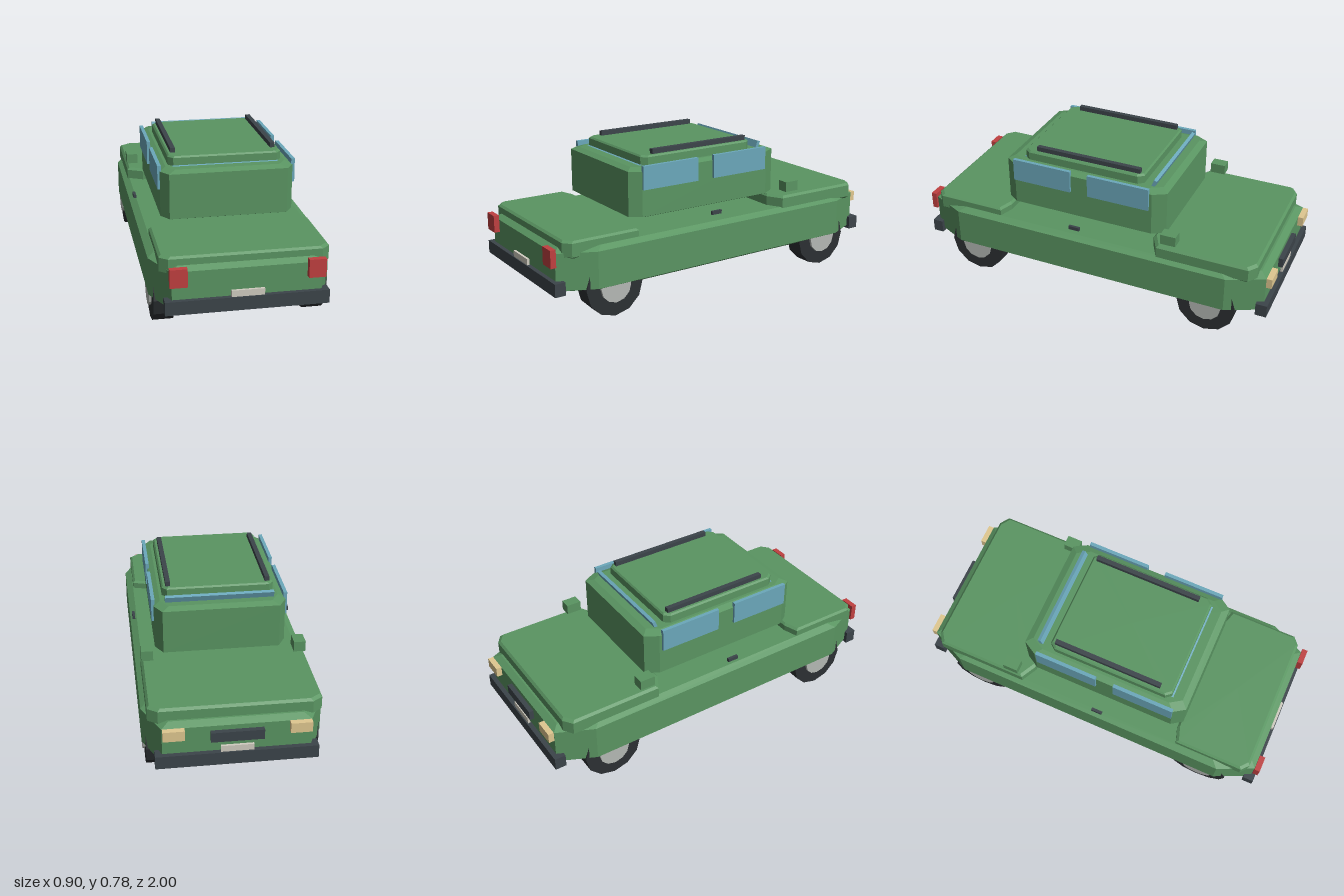
import * as THREE from 'three';

const mat = (color) => new THREE.MeshStandardMaterial({ color, flatShading: true });

// Eight-sided slab with cut corners, bevelled at top and bottom.
// cutBack / cutFront = [x, z] size of the corner cuts at the -z / +z end.
function slab({ hx, z0, z1, y0, y1, cutBack, cutFront, bevel, rise }) {
  const ring = (y, inset) => {
    const x = hx - inset, a = z0 + inset, b = z1 - inset;
    const [bx, bz] = cutBack, [fx, fz] = cutFront;
    return [
      [x, a + bz], [x, b - fz], [x - fx, b], [-x + fx, b],
      [-x, b - fz], [-x, a + bz], [-x + bx, a], [x - bx, a],
    ].map(([px, pz]) => new THREE.Vector3(px, y, pz));
  };
  const rings = [ring(y0, bevel), ring(y0 + rise, 0), ring(y1 - rise, 0), ring(y1, bevel)];
  const points = [];
  const n = 8, zc = (z0 + z1) / 2;
  for (let j = 0; j < n; j++) {
    const k = (j + 1) % n;
    for (let i = 0; i < 3; i++) {
      const lo = rings[i], hi = rings[i + 1];
      points.push(lo[j], hi[j], lo[k], lo[k], hi[j], hi[k]);
    }
    points.push(new THREE.Vector3(0, y1, zc), rings[3][k], rings[3][j]);
    points.push(new THREE.Vector3(0, y0, zc), rings[0][j], rings[0][k]);
  }
  const geometry = new THREE.BufferGeometry().setFromPoints(points);
  geometry.computeVertexNormals();
  return geometry;
}

export function createModel() {
  const car = new THREE.Group();
  car.name = 'car';
  const paint = mat(0x5a9562), trim = mat(0x3c444a), rubber = mat(0x2c3033);
  const glass = mat(0x6ba8bb), red = mat(0xc04040), cream = mat(0xe0c890);
  const plate = mat(0xd0ccc0), metal = mat(0xb4b8b4);

  const add = (name, geometry, material) => {
    const mesh = new THREE.Mesh(geometry, material);
    mesh.name = name;
    car.add(mesh);
    return mesh;
  };
  // Box given by its lower and upper limits on each axis
  const box = (name, material, [x0, x1], [y0, y1], [z0, z1]) => {
    const mesh = add(name, new THREE.BoxGeometry(x1 - x0, y1 - y0, z1 - z0), material);
    mesh.position.set((x0 + x1) / 2, (y0 + y1) / 2, (z0 + z1) / 2);
    return mesh;
  };
  // The same box on both sides
  const pair = (name, material, [x0, x1], y, z) => {
    box(name + 'Left', material, [x0, x1], y, z);
    box(name + 'Right', material, [-x1, -x0], y, z);
  };

  // Body shell
  add('lowerBody', slab({
    hx: 0.452, z0: -0.97, z1: 0.97, y0: 0.15, y1: 0.383,
    cutBack: [0.088, 0.19], cutFront: [0.088, 0.19], bevel: 0.035, rise: 0.02,
  }), paint);
  add('engineLid', slab({
    hx: 0.427, z0: -0.925, z1: -0.35, y0: 0.355, y1: 0.445,
    cutBack: [0.05, 0.035], cutFront: [0.085, 0.045], bevel: 0.012, rise: 0.012,
  }), paint);
  add('luggageLid', slab({
    hx: 0.415, z0: 0.5, z1: 0.937, y0: 0.335, y1: 0.425,
    cutBack: [0.08, 0.025], cutFront: [0.04, 0.035], bevel: 0.012, rise: 0.01,
  }), paint);
  add('cabin', slab({
    hx: 0.345, z0: -0.405, z1: 0.52, y0: 0.44, y1: 0.705,
    cutBack: [0.04, 0.07], cutFront: [0.04, 0.06], bevel: 0.035, rise: 0.014,
  }), paint);
  add('roof', slab({
    hx: 0.295, z0: -0.265, z1: 0.425, y0: 0.69, y1: 0.755,
    cutBack: [0.025, 0.03], cutFront: [0.025, 0.03], bevel: 0.008, rise: 0.008,
  }), paint);
  pair('roofRail', trim, [0.25, 0.275], [0.752, 0.78], [-0.24, 0.355]);

  // Windows; the end panes lean and are mostly sunk into the cabin
  pair('frontSideWindow', glass, [0.338, 0.357], [0.597, 0.721], [-0.32, 0.025]);
  pair('rearSideWindow', glass, [0.338, 0.357], [0.597, 0.721], [0.125, 0.46]);
  const windshield = box('windshield', glass, [-0.285, 0.285], [0.545, 0.745], [-0.305, -0.287]);
  windshield.rotation.x = -0.35;
  const rearWindow = box('rearWindow', glass, [-0.275, 0.275], [0.53, 0.71], [0.395, 0.413]);
  rearWindow.rotation.x = 0.3;

  // Mirrors and handles
  pair('mirror', paint, [0.365, 0.426], [0.466, 0.521], [-0.5, -0.417]);
  pair('doorHandle', trim, [0.429, 0.444], [0.427, 0.446], [0.035, 0.095]);

  // Bumpers, plates, lamps and grille
  for (const [name, z] of [['front', [-0.995, -0.935]], ['rear', [0.935, 0.993]]]) {
    box(name + 'Bumper', trim, [-0.4, 0.4], [0.153, 0.222], z);
  }
  box('rearPlate', plate, [-0.081, 0.081], [0.2, 0.255], [0.975, 0.988]);
  box('frontPlate', plate, [-0.081, 0.081], [0.2, 0.255], [-0.988, -0.975]);
  pair('tailLamp', red, [0.292, 0.377], [0.295, 0.388], [0.97, 1]);
  pair('headLamp', cream, [0.255, 0.362], [0.31, 0.364], [-1, -0.97]);
  box('grille', trim, [-0.13, 0.13], [0.285, 0.338], [-0.995, -0.968]);

  // Wheels: twelve-sided tyre with a hub cap standing slightly proud
  const tyre = new THREE.CylinderGeometry(0.16, 0.16, 0.104, 12).rotateZ(Math.PI / 2);
  const hub = new THREE.CylinderGeometry(0.085, 0.085, 0.115, 12).rotateZ(Math.PI / 2);
  for (const side of [-1, 1]) {
    for (const z of [-0.68, 0.68]) {
      const end = (z < 0 ? 'front' : 'rear') + (side > 0 ? 'Left' : 'Right');
      add(end + 'Tyre', tyre, rubber).position.set(side * 0.382, 0.16, z);
      add(end + 'Hub', hub, metal).position.set(side * 0.39, 0.16, z);
    }
  }
  return car;
}
